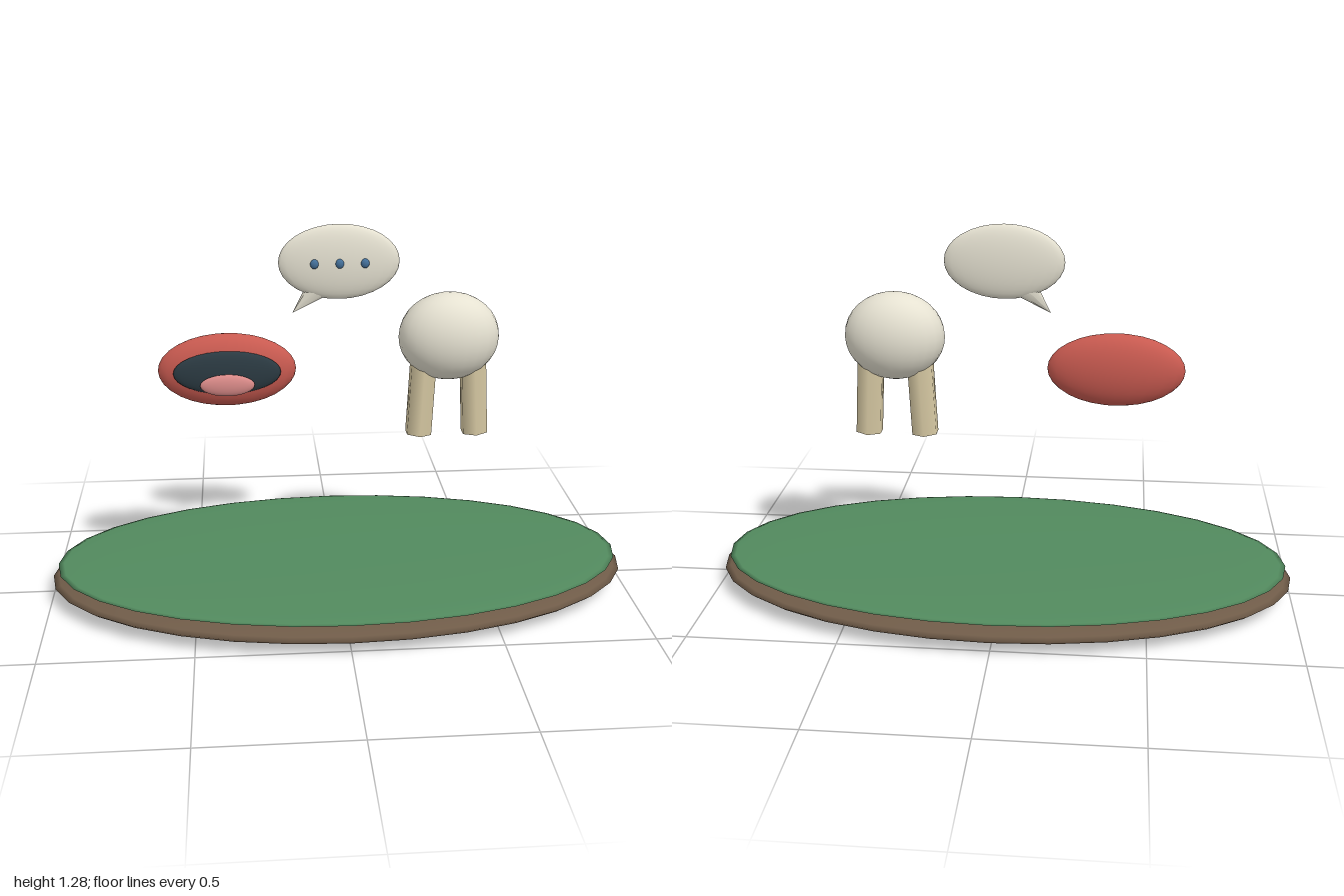
import * as THREE from 'three';

const paint = (color) => new THREE.MeshStandardMaterial({ color });

// Smooth ellipsoid from a unit sphere, given centre and radii
function ellipsoid(name, color, centre, radii, segments = 24, rings = 16) {
  const geometry = new THREE.SphereGeometry(1, segments, rings);
  geometry.scale(...radii);
  const mesh = new THREE.Mesh(geometry, paint(color));
  mesh.name = name;
  mesh.position.set(...centre);
  return mesh;
}

export function createModel() {
  const model = new THREE.Group();
  model.name = 'floatingIslandScene';

  // Island: soil disc with a thin grass layer on top
  model.add(ellipsoid('soil', 0x6f5b48, [0, 0.06, 0], [1, 0.06, 0.545], 32, 16));
  model.add(ellipsoid('grass', 0x528a5e, [0, 0.105, 0], [0.98, 0.018, 0.525], 32, 16));

  // Open mouth: lips, dark cavity and tongue
  const mouth = new THREE.Group();
  mouth.name = 'mouth';
  mouth.add(
    ellipsoid('lips', 0xc85a50, [-0.375, 0.8, 0], [0.23, 0.125, 0.06]),
    ellipsoid('mouthCavity', 0x2b3a42, [-0.375, 0.803, 0.047], [0.178, 0.074, 0.021]),
    ellipsoid('tongue', 0xd98a88, [-0.375, 0.768, 0.075], [0.09, 0.037, 0.016])
  );
  model.add(mouth);

  // Speech bubble with three dots and a pointed tail
  const bubble = new THREE.Group();
  bubble.name = 'speechBubble';
  bubble.add(ellipsoid('bubbleBody', 0xe6e2d2, [0, 1.16, 0], [0.2, 0.125, 0.032]));
  for (const x of [-0.083, 0, 0.083]) {
    bubble.add(ellipsoid('bubbleDot', 0x44709a, [x, 1.16, 0.032], [0.014, 0.016, 0.01], 12, 8));
  }
  const tailGeometry = new THREE.ConeGeometry(0.042, 0.125, 8);
  tailGeometry.scale(1, 1, 0.4);
  const tail = new THREE.Mesh(tailGeometry, paint(0xe6e2d2));
  tail.name = 'bubbleTail';
  tail.position.set(-0.111, 1.034, 0);
  tail.rotation.z = THREE.MathUtils.degToRad(135);
  bubble.add(tail);
  model.add(bubble);

  // Tooth: rounded crown on two splayed roots
  const tooth = new THREE.Group();
  tooth.name = 'tooth';
  tooth.add(ellipsoid('crown', 0xe6e2d2, [0.37, 0.9, 0], [0.17, 0.15, 0.113]));
  for (const side of [-1, 1]) {
    const root = new THREE.Mesh(new THREE.CylinderGeometry(0.048, 0.048, 0.28, 6), paint(0xd8caa4));
    root.name = 'toothRoot';
    root.position.set(0.37 + side * 0.09, 0.696, 0);
    root.rotation.z = side * 0.05;
    tooth.add(root);
  }
  model.add(tooth);

  return model;
}
